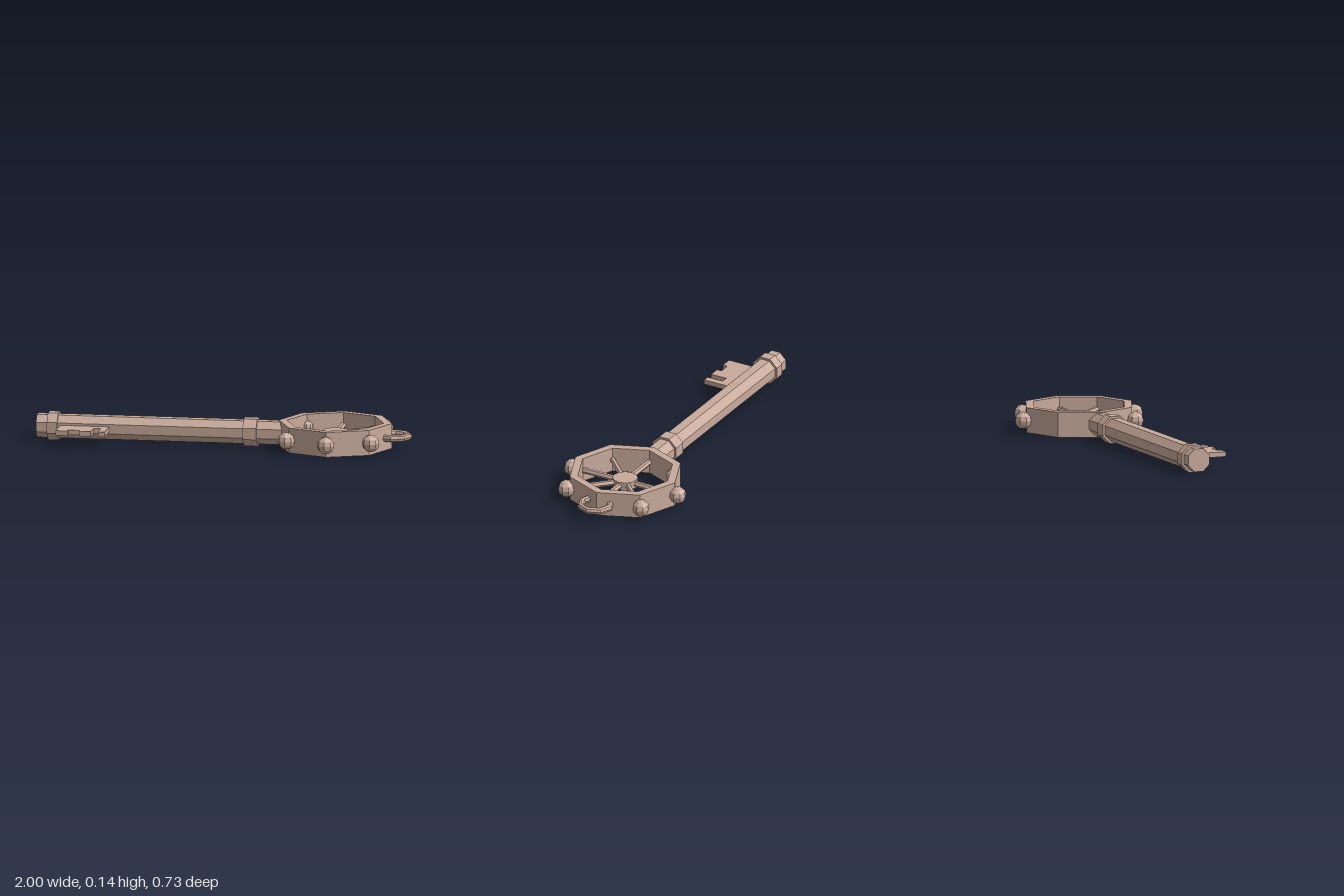
import * as THREE from 'three';

export function createModel() {
  const model = new THREE.Group();
  const clay = new THREE.MeshStandardMaterial({ color: 0xc9ab9c, flatShading: true });
  clay.name = 'dusty pink';
  const midY = 0.0745, wheelX = 0.59;

  function add(name, geometry, x = 0, y = midY, z = 0) {
    const mesh = new THREE.Mesh(geometry, clay);
    mesh.name = name;
    mesh.position.set(x, y, z);
    model.add(mesh);
    return mesh;
  }

  // Octagonal bar along x with flat top and bottom
  function bar(name, x0, x1, apothem) {
    const g = new THREE.CylinderGeometry(apothem / Math.cos(Math.PI / 8), apothem / Math.cos(Math.PI / 8), x1 - x0, 8);
    g.rotateY(Math.PI / 8).rotateZ(Math.PI / 2);
    add(name, g, (x0 + x1) / 2);
  }
  bar('shaft', -1, 0.325, 0.061);
  bar('endCollar', -0.94, -0.885, 0.0725);
  bar('bowCollar', 0.105, 0.178, 0.0725);

  // Extrude a flat outline given in x and z
  function plate(shape, height) {
    return new THREE.ExtrudeGeometry(shape, { depth: height, bevelEnabled: false })
      .translate(0, 0, -height / 2).rotateX(Math.PI / 2);
  }

  // Notched bit
  const outline = [[-0.87, 0.04], [-0.87, 0.21], [-0.806, 0.21], [-0.806, 0.183], [-0.744, 0.183],
    [-0.744, 0.21], [-0.682, 0.21], [-0.682, 0.118], [-0.644, 0.118], [-0.644, 0.21], [-0.608, 0.21], [-0.608, 0.04]];
  add('bit', plate(new THREE.Shape(outline.map(([x, z]) => new THREE.Vector2(x, z))), 0.026));

  // Octagonal bow ring
  const octagon = r => Array.from({ length: 8 }, (_, i) =>
    new THREE.Vector2(r * Math.cos(i * Math.PI / 4), r * Math.sin(i * Math.PI / 4)));
  const ring = new THREE.Shape(octagon(0.302));
  ring.holes.push(new THREE.Path(octagon(0.258)));
  add('bowRing', plate(ring, 0.134), wheelX);

  // Hub, spokes and studs
  add('hub', new THREE.CylinderGeometry(0.067, 0.067, 0.045, 12), wheelX);
  for (let i = 0; i < 8; i++) {
    const a = i * Math.PI / 4;
    const broken = i === 5;
    if (!broken) {
      const spoke = new THREE.CylinderGeometry(0.016, 0.016, 0.25, 6).rotateZ(Math.PI / 2).translate(0.145, 0, 0);
      add('spoke', spoke, wheelX).rotation.y = -a;
    }
    if (i !== 0 && i !== 4 && !broken) {
      add('stud', new THREE.SphereGeometry(0.046, 8, 6),
        wheelX + 0.32 * Math.cos(a), midY, 0.32 * Math.sin(a)).rotation.y = -a;
    }
  }
  // Stub left where one spoke is missing
  const stubAngle = 5 * Math.PI / 4;
  add('spokeStub', new THREE.SphereGeometry(0.032, 8, 6),
    wheelX + 0.255 * Math.cos(stubAngle), midY, 0.255 * Math.sin(stubAngle));

  // Hanging loop, its ends buried in the ring
  const loop = new THREE.TorusGeometry(0.081, 0.019, 8, 6, Math.PI * 1.5);
  loop.rotateZ(-Math.PI * 0.75).rotateX(Math.PI / 2);
  add('hangingLoop', loop, 0.9);

  return model;
}
